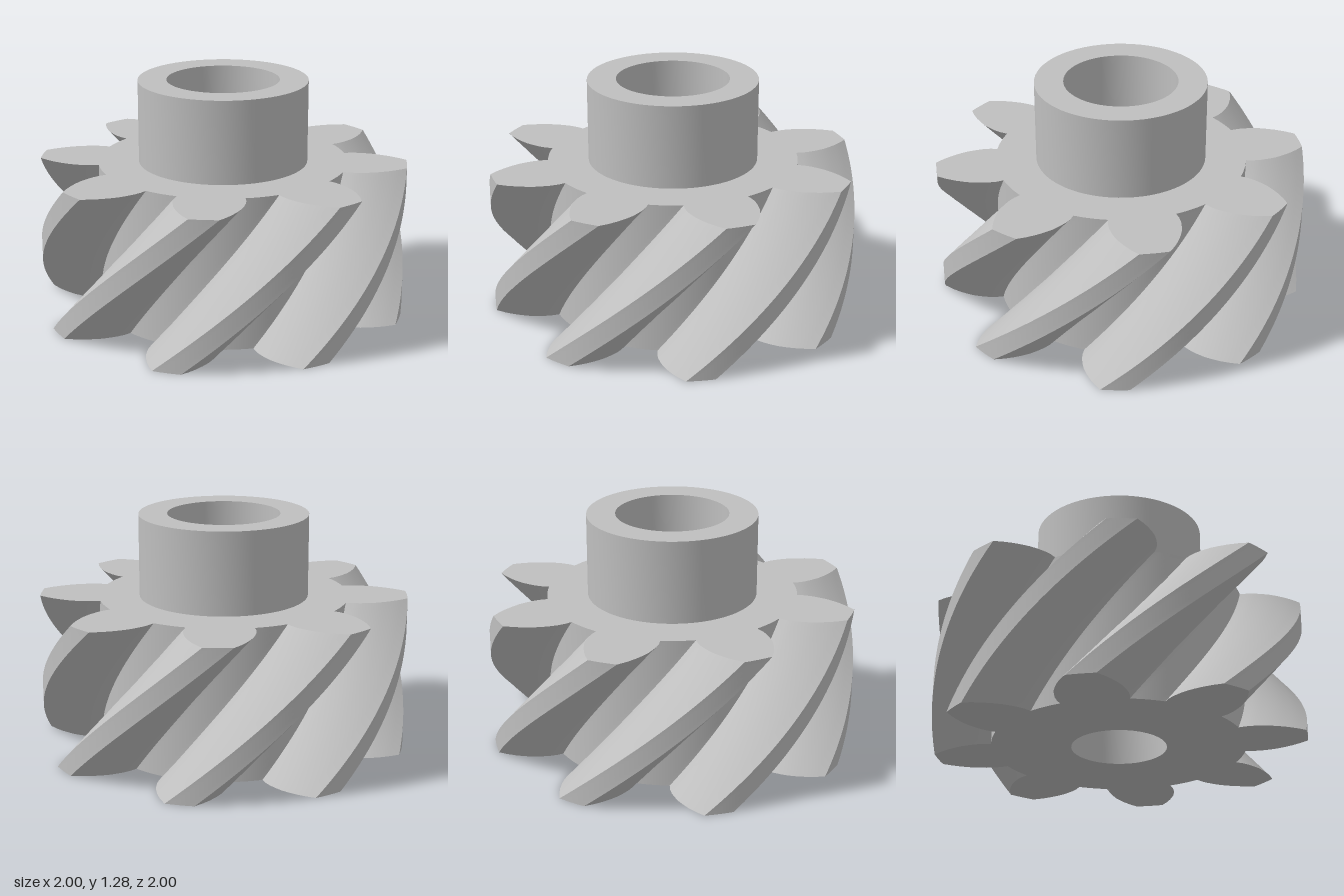
import * as THREE from 'three';
import { toCreasedNormals } from 'three/addons/utils/BufferGeometryUtils.js';

const TEETH = 8, PITCH = 360 / TEETH;
const HEIGHT = 0.83, START = -67.5, TWIST = 56.25, LAYERS = 36;

// Tooth flank from root to tip: [radius, degrees from the tooth centre]
const FLANK = [[0.68, 14.9], [0.72, 14.7], [0.76, 14.0], [0.80, 12.9], [0.84, 11.7],
  [0.88, 10.1], [0.92, 8.4], [0.96, 6.5], [1.0, 4.4]];

// Circular arc in the same polar form
function arc(radius, from, to, steps) {
  return Array.from({ length: steps + 1 }, (_, i) => [radius, from + (to - from) * i / steps]);
}

// The four strips of one tooth, counterclockwise
const STRIPS = {
  rightFlank: FLANK.map(([r, a]) => [r, -a]),
  tip: arc(1, -4.4, 4.4, 4),
  leftFlank: [...FLANK].reverse(),
  root: arc(0.68, 14.9, PITCH - 14.9, 6),
};

function polar(radius, degrees) {
  const a = THREE.MathUtils.degToRad(degrees);
  return [radius * Math.cos(a), radius * Math.sin(a)];
}

// Sweep a strip up the helix
function helicalStrip(points, turn) {
  const positions = [], index = [], n = points.length;
  for (let j = 0; j <= LAYERS; j++) {
    const t = j / LAYERS;
    for (const [r, a] of points) {
      const [x, y] = polar(r, a + turn + START + TWIST * t);
      positions.push(x, HEIGHT * t, -y);
    }
  }
  for (let j = 0; j < LAYERS; j++) {
    for (let i = 0; i < n - 1; i++) {
      const a = j * n + i, b = a + 1, c = a + n, d = c + 1;
      index.push(a, b, d, a, d, c);
    }
  }
  const geometry = new THREE.BufferGeometry();
  geometry.setAttribute('position', new THREE.Float32BufferAttribute(positions, 3));
  geometry.setIndex(index);
  geometry.computeVertexNormals();
  return geometry;
}

// Flat gear outline with a round hole, facing up (side 1) or down (side -1)
function endFace(turn, side, holeRadius) {
  const outline = [];
  for (let k = 0; k < TEETH; k++) {
    for (const strip of Object.values(STRIPS)) {
      for (const [r, a] of strip.slice(0, -1)) {
        const [x, y] = polar(r, a + turn + k * PITCH);
        outline.push(new THREE.Vector2(x, y * side));
      }
    }
  }
  const shape = new THREE.Shape(outline);
  shape.holes.push(new THREE.Path().absarc(0, 0, holeRadius, 0, Math.PI * 2, true));
  return new THREE.ShapeGeometry(shape, 32).rotateX(-side * Math.PI / 2);
}

function turned(profile) {
  const points = profile.map(([x, y]) => new THREE.Vector2(x, y));
  return toCreasedNormals(new THREE.LatheGeometry(points, 64), Math.PI / 6);
}

export function createModel() {
  const model = new THREE.Group();
  model.name = 'helicalGear';
  const steel = new THREE.MeshStandardMaterial({ color: 0xbfbfbf });
  steel.name = 'grey steel';

  const add = (name, geometry, parent = model) => {
    const mesh = new THREE.Mesh(geometry, steel);
    mesh.name = name;
    parent.add(mesh);
    return mesh;
  };

  // Twisted teeth and the valleys between them
  for (let k = 0; k < TEETH; k++) {
    const tooth = new THREE.Group();
    tooth.name = `tooth${k + 1}`;
    for (const [name, points] of Object.entries(STRIPS)) {
      add(name, helicalStrip(points, k * PITCH), tooth);
    }
    model.add(tooth);
  }

  // End faces
  add('topFace', endFace(START + TWIST, 1, 0.44)).position.y = HEIGHT;
  add('bottomFace', endFace(START, -1, 0.255));

  // Raised hub with its blind bore, and the narrower bore underneath
  add('hub', turned([[0.46, HEIGHT], [0.46, 1.28], [0.305, 1.28], [0.305, HEIGHT], [0, HEIGHT]]));
  add('bottomBore', turned([[0, 0.4], [0.255, 0.4], [0.255, 0]]));

  return model;
}
